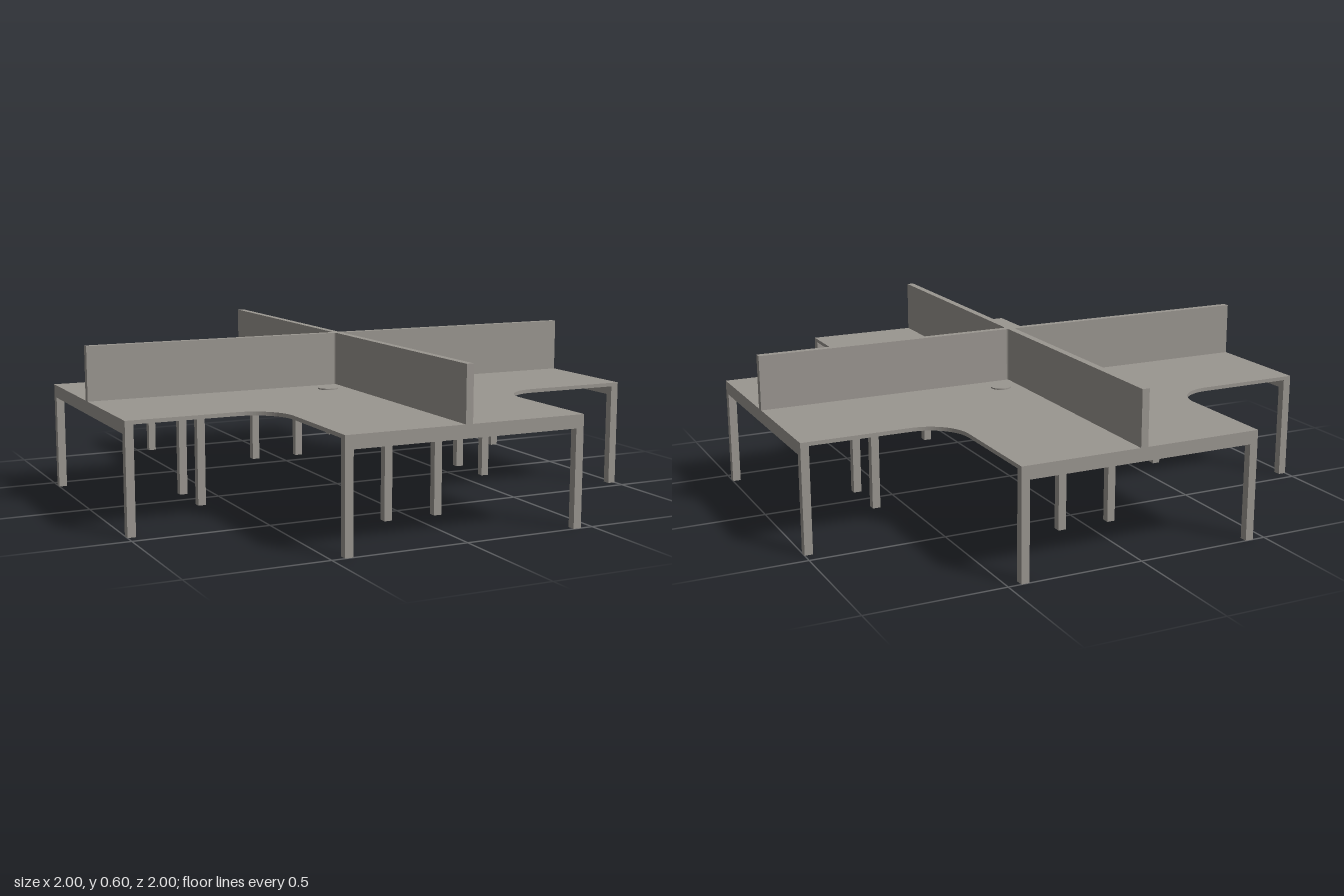
import * as THREE from 'three';

const REACH = 1;        // centre to the end of each arm
const HALF = 0.453;     // half the width of an arm
const TOP = 0.4;        // work surface height
const UNDER = 0.386;    // underside of the tabletop
const LEG = 0.03;       // square leg section

// Plus-shaped slab with rounded inner corners, from height y0 to y1
function crossSlab(half, radius, y0, y1, segments) {
  const shape = new THREE.Shape();
  const c = half + radius;
  for (let i = 0; i < 4; i++) {
    const a = i * Math.PI / 2;
    const at = (x, y) => [x * Math.cos(a) - y * Math.sin(a), x * Math.sin(a) + y * Math.cos(a)];
    if (i === 0) shape.moveTo(...at(REACH, -half));
    else shape.lineTo(...at(REACH, -half));
    shape.lineTo(...at(REACH, half));
    shape.lineTo(...at(c, half));
    shape.absarc(...at(c, c), radius, a - Math.PI / 2, a - Math.PI, true);
  }
  shape.closePath();
  const geometry = new THREE.ExtrudeGeometry(shape, {
    depth: y1 - y0, bevelEnabled: false, curveSegments: segments,
  });
  geometry.rotateX(-Math.PI / 2);
  geometry.translate(0, y0, 0);
  return geometry;
}

export function createModel() {
  const model = new THREE.Group();
  model.name = 'fourSeatWorkstation';
  const warmGrey = new THREE.MeshStandardMaterial({ color: 0x9a9690 });
  warmGrey.name = 'warmGrey';

  const add = (parent, name, geometry, x = 0, y = 0, z = 0) => {
    const mesh = new THREE.Mesh(geometry, warmGrey);
    mesh.name = name;
    mesh.position.set(x, y, z);
    parent.add(mesh);
  };

  // Shared work surface and the crossing privacy screens
  add(model, 'tabletop', crossSlab(HALF, 0.15, UNDER, TOP, 12));
  add(model, 'privacyScreens', crossSlab(0.0135, 0.008, TOP, 0.6, 4));

  const leg = new THREE.BoxGeometry(LEG, UNDER, LEG);
  const railHeight = UNDER - 0.352;
  const rail = new THREE.BoxGeometry(2 * (HALF - LEG), railHeight, LEG);
  const grommet = new THREE.CylinderGeometry(0.038, 0.038, 0.005, 24);

  // One frame and cable cover per arm, turned about the centre
  for (let i = 0; i < 4; i++) {
    const arm = new THREE.Group();
    arm.name = 'armFrame' + (i + 1);
    arm.rotation.y = i * Math.PI / 2;
    for (const side of [-1, 1]) {
      add(arm, 'endLeg', leg, side * (HALF - LEG / 2), UNDER / 2, REACH - LEG / 2);
      add(arm, 'innerLeg', leg, side * 0.1, UNDER / 2, 0.608);
    }
    add(arm, 'endRail', rail, 0, UNDER - railHeight / 2, REACH - LEG / 2);
    add(arm, 'cableCover', grommet, 0.107, TOP + 0.0025, 0.091);
    model.add(arm);
  }
  return model;
}
